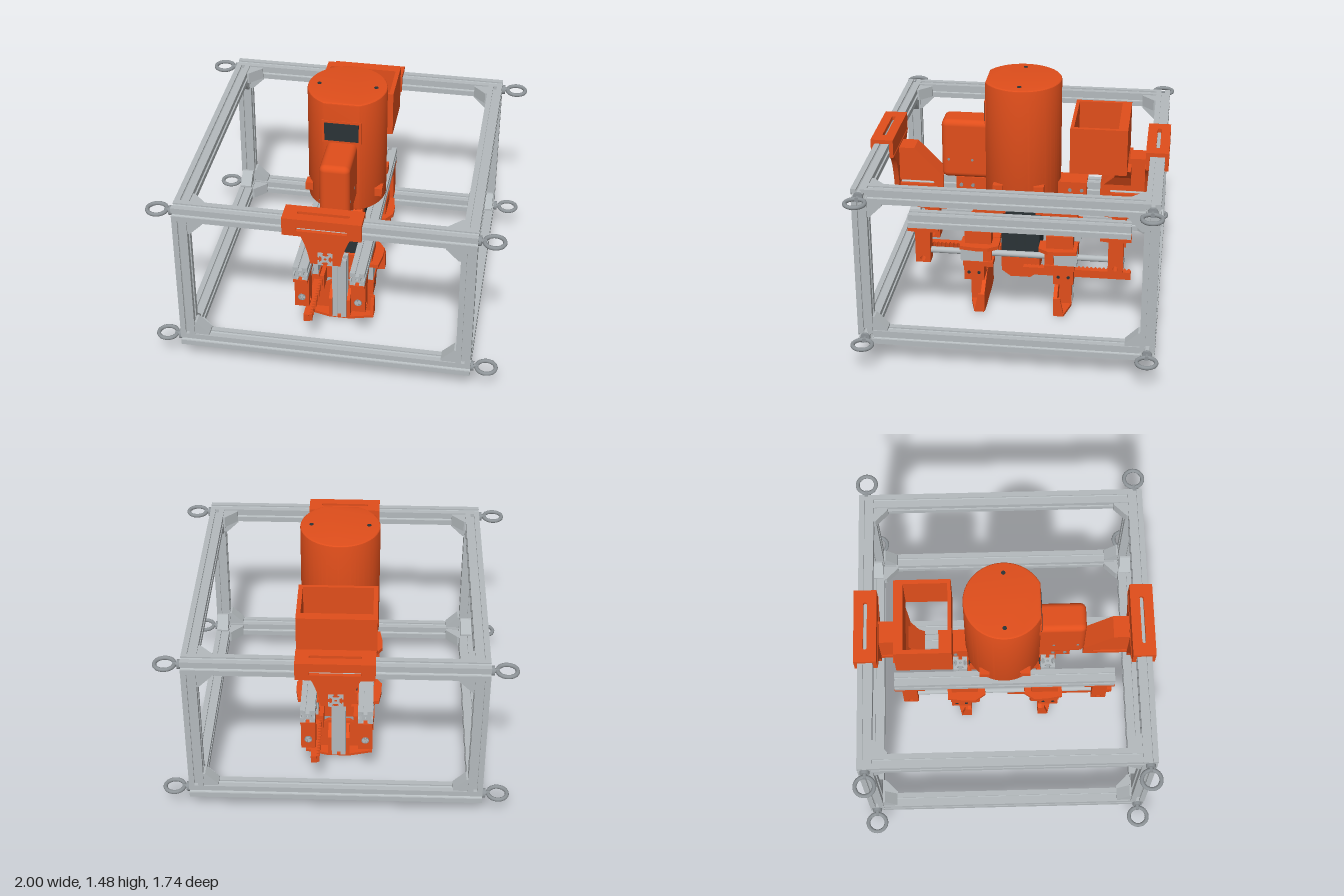
import * as THREE from 'three';
import { toCreasedNormals } from 'three/addons/utils/BufferGeometryUtils.js';
import { RoundedBoxGeometry } from 'three/addons/geometries/RoundedBoxGeometry.js';

const mat = (color) => new THREE.MeshStandardMaterial({ color, side: THREE.DoubleSide });
const orange = mat(0xe04e1b), grey = mat(0xb4babd), steel = mat(0x8e9498), dark = mat(0x2b3336);

function add(parent, name, geo, material, x = 0, y = 0, z = 0) {
  const m = new THREE.Mesh(geo, material);
  m.name = name;
  m.position.set(x, y, z);
  parent.add(m);
  return m;
}

// Box given by its limits on each axis
function box(parent, name, material, [x0, x1], [y0, y1], [z0, z1]) {
  return add(parent, name, new THREE.BoxGeometry(x1 - x0, y1 - y0, z1 - z0), material,
    (x0 + x1) / 2, (y0 + y1) / 2, (z0 + z1) / 2);
}

const poly = (pts) => new THREE.Shape(pts.map((p) => new THREE.Vector2(...p)));

function slotHole(x0, x1, y0, y1) {
  const r = (y1 - y0) / 2, y = (y0 + y1) / 2, p = new THREE.Path();
  p.absarc(x1 - r, y, r, -Math.PI / 2, Math.PI / 2);
  p.absarc(x0 + r, y, r, Math.PI / 2, Math.PI * 1.5);
  p.closePath();
  return p;
}

function extrude(shape, depth) {
  const g = new THREE.ExtrudeGeometry(shape, { depth, bevelEnabled: false, curveSegments: 10 });
  return toCreasedNormals(g.translate(0, 0, -depth / 2), 0.5);
}

// Outline drawn in (z, y), extruded along x / outline drawn in (x, z), extruded along y
const sidePart = (parent, name, shape, x0, x1, material = orange) =>
  add(parent, name, extrude(shape, x1 - x0).rotateY(-Math.PI / 2), material, (x0 + x1) / 2);
const flatPart = (parent, name, shape, y0, y1, material = orange) =>
  add(parent, name, extrude(shape, y1 - y0).rotateX(Math.PI / 2), material, 0, (y0 + y1) / 2);

// Slotted aluminium bar, centred, along the given axis
function bar(parent, name, axis, length, x, y, z, h = 0.0425) {
  const side = [[h, -h], [h, -0.011], [h - 0.008, -0.011], [h - 0.008, -0.023], [h - 0.022, -0.011],
    [h - 0.022, 0.011], [h - 0.008, 0.023], [h - 0.008, 0.011], [h, 0.011]];
  const pts = [];
  for (let k = 0; k < 4; k++) {
    const c = [1, 0, -1, 0][k], s = [0, 1, 0, -1][k];
    for (const [a, b] of side) pts.push([a * c - b * s, a * s + b * c]);
  }
  const shape = poly(pts);
  shape.holes.push(new THREE.Path().absarc(0, 0, 0.008, 0, Math.PI * 2));
  const g = extrude(shape, length);
  if (axis === 'x') g.rotateY(Math.PI / 2);
  if (axis === 'y') g.rotateX(Math.PI / 2);
  return add(parent, name, g, grey, x, y, z);
}

function rod(parent, name, material, r, length, axis, x, y, z, sides = 24) {
  const g = new THREE.CylinderGeometry(r, r, length, sides);
  if (axis === 'x') g.rotateZ(Math.PI / 2);
  if (axis === 'z') g.rotateX(Math.PI / 2);
  return add(parent, name, g, material, x, y, z);
}

// Outer cage with corner gussets and lifting eyes
function buildFrame(root) {
  const frame = new THREE.Group();
  frame.name = 'frame';
  root.add(frame);
  const wedge = () => extrude(poly([[0, 0], [0.085, 0], [0.085, 0.012], [0.012, 0.085], [0, 0.085]]), 0.07);
  for (const s of [-1, 1]) {
    for (const y of [0.175, 1.063]) {
      bar(frame, 'crossBeam', 'x', 1.69, 0, y, s * 0.802);
      bar(frame, 'sideBeam', 'z', 1.519, s * 0.802, y, 0);
    }
    for (const t of [-1, 1]) {
      bar(frame, 'cornerPost', 'y', 0.803, s * 0.802, 0.619, t * 0.802);
      for (const [y, u] of [[0.175, 1], [1.063, -1]]) {
        const yIn = y + u * 0.0425;
        add(frame, 'postGusset', wedge(), grey, -s * -0.7595, yIn, t * 0.802).scale.set(-s, u, 1);
        const sideGusset = add(frame, 'sideGusset', wedge().rotateY(-Math.PI / 2), grey, s * 0.802, yIn, t * 0.7595);
        sideGusset.scale.set(1, u, -t);
        const flatGusset = add(frame, 'flatGusset', wedge().rotateX(Math.PI / 2), grey, s * 0.7595, y, t * 0.7595);
        flatGusset.scale.set(-s, 1, -t);
        add(frame, 'liftingEye', new THREE.TorusGeometry(0.055, 0.012, 10, 32).rotateX(Math.PI / 2),
          steel, s * 0.933, y, t * 0.802);
        rod(frame, 'eyeShank', steel, 0.013, 0.05, 'x', s * 0.865, y, t * 0.802, 12);
        rod(frame, 'eyeCollar', steel, 0.028, 0.018, 'x', s * 0.854, y, t * 0.802);
      }
    }
  }
}

// Clip over a cross beam with the arm that carries the body
function buildMount(mount) {
  const capTop = poly([[-0.22, 0.735], [0.22, 0.735], [0.22, 0.866], [-0.22, 0.866]]);
  capTop.holes.push(slotHole(-0.145, 0.145, 0.79, 0.812));
  flatPart(mount, 'clipTop', capTop, 1.106, 1.13);
  const face = poly([[-0.22, 1.02], [0.22, 1.02], [0.22, 1.13], [-0.22, 1.13]]);
  face.holes.push(slotHole(-0.145, 0.145, 1.053, 1.075));
  add(mount, 'clipFace', extrude(face, 0.022), orange, 0, 0, 0.856);
  box(mount, 'clipInner', orange, [-0.22, 0.22], [1.02, 1.13], [0.735, 0.758]);

  const flare = new THREE.Shape();
  flare.moveTo(-0.22, 1.03);
  flare.quadraticCurveTo(-0.12, 0.98, -0.085, 0.76);
  flare.lineTo(0.085, 0.76);
  flare.quadraticCurveTo(0.12, 0.98, 0.22, 1.03);
  add(mount, 'flarePlate', extrude(flare, 0.03), orange, 0, 0, 0.747);
  for (const s of [-1, 1]) {
    const cheek = poly([[0.76, 0.76], [0.76, 1.02], [0.64, 1.02], [0.47, 0.845], [0.47, 0.76]]);
    cheek.holes.push(slotHole(0.525, 0.735, 0.788, 0.812));
    sidePart(mount, 'armCheek', cheek, s * 0.055 - 0.011, s * 0.055 + 0.011);
  }
  sidePart(mount, 'armWeb', poly([[0.76, 0.845], [0.76, 1.02], [0.64, 1.02], [0.47, 0.845]]), -0.05, 0.05);
  bar(mount, 'armBeam', 'z', 0.565, 0, 0.8, 0.4825);

  // Socket on the body
  box(mount, 'bodySocket', orange, [-0.068, 0.068], [0.757, 0.85], [0.15, 0.39]);
  for (const s of [-1, 1]) {
    for (const z of [0.29, 0.36]) rod(mount, 'socketScrew', steel, 0.011, 0.15, 'x', 0, 0.8, z, 12);
    box(mount, 'bodyLug', orange, [s * 0.205 - 0.022, s * 0.205 + 0.022], [0.83, 0.88], [0.09, 0.15]);
  }
}

// Round housing with display, control box and motor
function buildBody(root) {
  const body = new THREE.Group();
  body.name = 'body';
  root.add(body);
  const a = Math.atan2(0.205, 0.104);
  const outline = new THREE.Shape().absarc(0, 0, 0.22, -a, Math.PI + a);
  const g = new THREE.ExtrudeGeometry(outline, { depth: 0.7, bevelSize: 0.01, bevelThickness: 0.01,
    bevelSegments: 3, curveSegments: 64 });
  add(body, 'housing', toCreasedNormals(g.rotateX(-Math.PI / 2), 0.5), orange, 0, 0.765, 0);
  box(body, 'displayBezel', orange, [-0.115, 0.112], [1.215, 1.36], [0.19, 0.21]);
  box(body, 'display', dark, [-0.1, 0.098], [1.23, 1.345], [0.19, 0.214]);
  add(body, 'controlBox', new RoundedBoxGeometry(0.175, 0.365, 0.3, 4, 0.035), orange, 0, 1.033, 0.323);
  for (const s of [-1, 1]) {
    rod(body, 'lidScrew', dark, 0.012, 0.004, 'y', s * 0.165, 1.476, 0, 16);
    for (const z of [0.29, 0.43]) rod(body, 'boxScrew', steel, 0.008, 0.004, 'x', s * 0.088, 0.97, z, 12);
  }
  rod(body, 'motor', dark, 0.115, 0.33, 'y', 0, 0.6, 0, 48);
  box(body, 'gearbox', dark, [-0.11, 0.11], [0.365, 0.56], [-0.115, 0.115]);
  const hub = poly([[-0.115, 0.35], [0.115, 0.35], [0.115, 0.26], [0.06, 0.22], [-0.06, 0.22], [-0.115, 0.26]]);
  sidePart(body, 'pinionHousing', hub, -0.11, 0.11);
  rod(body, 'pinion', orange, 0.075, 0.05, 'y', 0, 0.235, 0, 20);
}

// Open bin above the rear arm
function buildBin(root) {
  const bin = new THREE.Group();
  bin.name = 'bin';
  root.add(bin);
  const rim = poly([[-0.225, -0.63], [0.225, -0.63], [0.225, -0.3], [-0.225, -0.3]]);
  rim.holes.push(poly([[-0.2, -0.32], [0.2, -0.32], [0.2, -0.575], [-0.2, -0.575]]));
  flatPart(bin, 'binWalls', rim, 0.98, 1.26);
  // Chute support widens from the arm to the bin floor
  const rings = [[0.065, 0.845, -0.65, -0.49], [0.1, 0.91, -0.65, -0.55], [0.18, 0.985, -0.65, -0.58]];
  const pos = [], idx = [0, 1, 2, 0, 2, 3, 8, 10, 9, 8, 11, 10];
  rings.forEach(([w, y, zb, zf], r) => {
    pos.push(-w, y, zb, w, y, zb, w, y, zf, -w, y, zf);
    for (let i = 0; r > 0 && i < 4; i++) {
      const p = r * 4 - 4 + i, q = r * 4 - 4 + (i + 1) % 4;
      idx.push(p, p + 4, q, q, p + 4, q + 4);
    }
  });
  const g = new THREE.BufferGeometry();
  g.setAttribute('position', new THREE.Float32BufferAttribute(pos, 3));
  g.setIndex(idx);
  add(bin, 'binSupport', toCreasedNormals(g, 0.3), orange);
}

// One half of the gripper; the other half is turned by 180 degrees
function buildGripper(half) {
  sidePart(half, 'motorBracket', poly([[0.09, 0.645], [0.21, 0.645], [0.21, 0.675], [0.145, 0.735], [0.09, 0.735]]), -0.115, 0.115);
  for (const x of [-0.08, 0.08]) for (const y of [0.655, 0.7])
    rod(half, 'bracketScrew', dark, 0.012, 0.01, 'z', x, y, 0.21, 12);
  box(half, 'bracketTongue', orange, [-0.062, 0.062], [0.5, 0.645], [0.12, 0.17]);
  for (const s of [-1, 1]) {
    const x = s * 0.165;
    // Rod hanger and guide rod
    const hanger = poly([[0.535, 0.335], [0.625, 0.335], [0.625, 0.535], [0.67, 0.54], [0.67, 0.558], [0.485, 0.558], [0.485, 0.54], [0.535, 0.535]]);
    hanger.holes.push(new THREE.Path().absarc(0.58, 0.36, 0.017, 0, Math.PI * 2));
    sidePart(half, 'rodHanger', hanger, x - 0.042, x + 0.042);
    rod(half, 'guideRod', grey, 0.019, 0.63, 'z', x, 0.402, 0.315);
    rod(half, 'rodEnd', steel, 0.022, 0.006, 'z', x, 0.402, 0.627);
    // Sliding bearing and its holder
    box(half, 'bearing', grey, [x - 0.045, x + 0.045], [0.36, 0.452], [0.215, 0.35]);
    box(half, 'bearingPost', orange, [x - 0.045, x + 0.035], [0.455, 0.555], [0.165, 0.325]);
    const wing = poly([[s * 0.11, 0.12], [s * 0.215, 0.12], [s * 0.255, 0.18], [s * 0.255, 0.25], [s * 0.24, 0.35], [s * 0.11, 0.35]]);
    flatPart(half, 'bearingWing', wing, 0.452, 0.475);
    box(half, 'wingSkirt', orange, [s * 0.225 - 0.012, s * 0.225 + 0.012], [0.38, 0.455], [0.16, 0.21]);
    box(half, 'carriageBlock', orange, [s * 0.15 - 0.06, s * 0.15 + 0.06], [0.235, 0.335], [0.21, 0.33]);
    for (const z of [0.24, 0.3]) rod(half, 'carriageScrew', dark, 0.01, 0.004, 'x', s * 0.211, 0.285, z, 12);
    box(half, 'bearingFoot', orange, [x - 0.05, x + 0.05], [0.33, 0.362], [0.155, 0.335]);
    // Finger jaw ribs beside the upright
    sidePart(half, 'jawRib', poly([[0.215, 0.02], [0.31, 0.02], [0.31, 0.15], [0.215, 0.22]]), s * 0.055 - 0.01, s * 0.055 + 0.01);
    sidePart(half, 'jawEdge', poly([[0.215, 0.01], [0.275, 0.01], [0.25, 0.13], [0.215, 0.13]]), s * 0.194 - 0.01, s * 0.194 + 0.01);
  }
  box(half, 'carriageBridge', orange, [-0.1, 0.1], [0.25, 0.33], [0.205, 0.228]);
  bar(half, 'fingerUpright', 'y', 0.43, 0, 0.235, 0.272);
  const jaw = new THREE.Shape();
  jaw.moveTo(-0.205, 0.015);
  jaw.quadraticCurveTo(-0.13, -0.005, -0.05, 0.004);
  jaw.lineTo(0.05, 0.004);
  jaw.quadraticCurveTo(0.13, -0.005, 0.205, 0.015);
  for (const p of [[0.205, 0.13], [0.065, 0.225], [-0.065, 0.225], [-0.205, 0.13]]) jaw.lineTo(...p);
  add(half, 'jawPlate', extrude(jaw, 0.024), orange, 0, 0, 0.222);
  flatPart(half, 'jawFloor', poly([[-0.2, 0.215], [0.2, 0.215], [0.2, 0.275], [0.065, 0.31], [-0.065, 0.31], [-0.2, 0.275]]), 0.01, 0.026);
  // Rack with teeth toward the pinion
  const teeth = [[-0.15, 0.67], [-0.15, 0.02]];
  for (let i = 0; i < 26; i++) {
    const z = 0.02 + i * 0.025;
    teeth.push([-0.118, z], [-0.1, z + 0.008], [-0.1, z + 0.014], [-0.118, z + 0.022]);
  }
  teeth.push([-0.118, 0.67]);
  flatPart(half, 'rack', poly(teeth), 0.26, 0.308);
}

export function createModel() {
  const root = new THREE.Group();
  root.name = 'gripperStation';
  buildFrame(root);
  buildBody(root);
  buildBin(root);
  for (const [name, turn] of [['front', 0], ['rear', Math.PI]]) {
    for (const [part, build] of [['Mount', buildMount], ['Gripper', buildGripper]]) {
      const group = new THREE.Group();
      group.name = name + part;
      group.rotation.y = turn;
      build(group);
      root.add(group);
    }
  }
  for (const s of [-1, 1]) bar(root, 'slideRail', 'z', 1.335, s * 0.165, 0.603, 0);
  return root;
}
